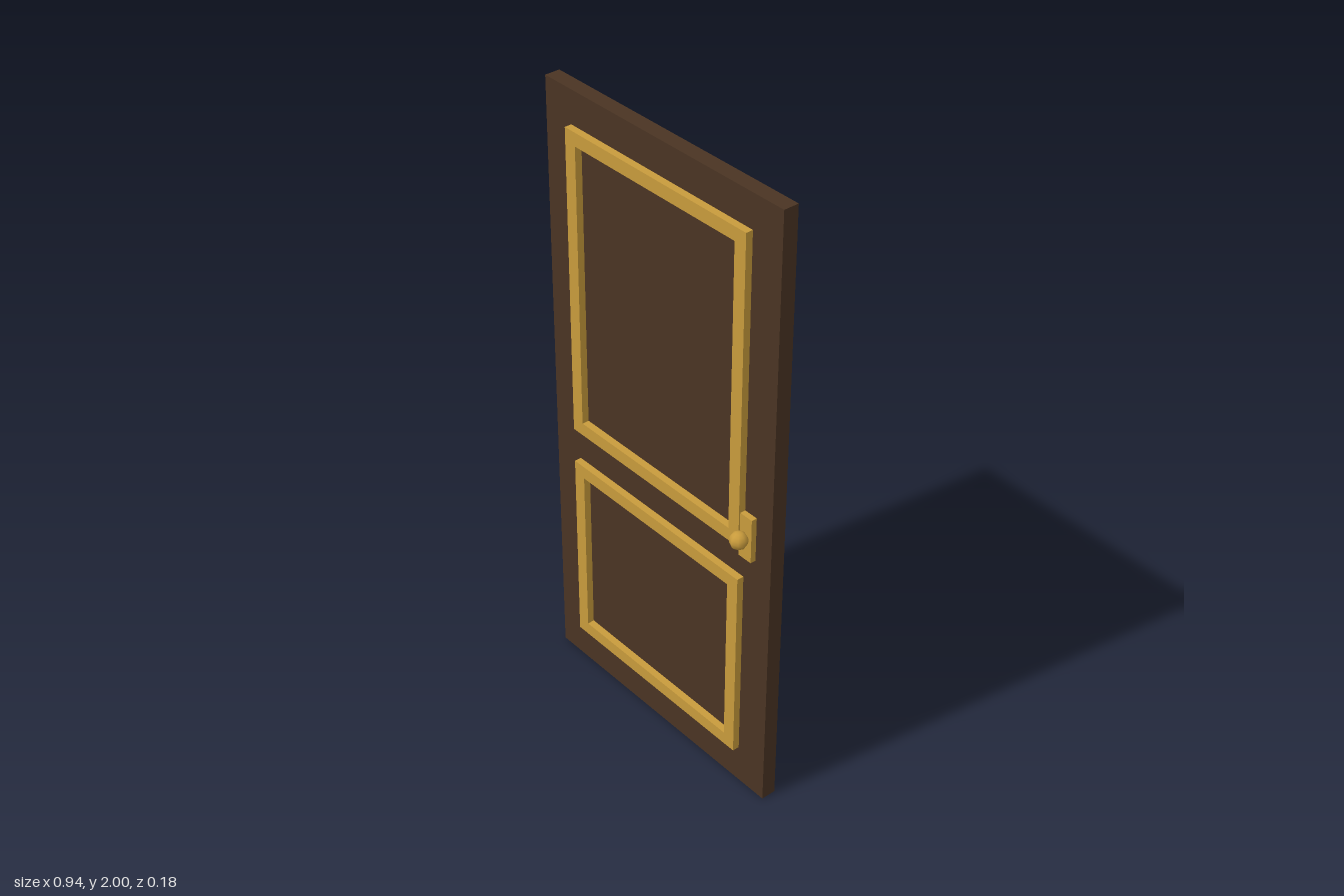
import * as THREE from 'three';

const wood = new THREE.MeshStandardMaterial({ name: 'dark wood', color: 0x4a3423 });
const brass = new THREE.MeshStandardMaterial({ name: 'brass', color: 0xc89b3c });

const HALF_WIDTH = 0.472;
const FACE = 0.024; // half the slab's thickness

// Rectangular moulding with mitre-free open centre, standing on the door face
function moulding(name, bottom, top) {
  const half = 0.363, strip = 0.042;
  const rect = (T, w, y0, y1) => {
    const s = new T();
    s.moveTo(-w, y0).lineTo(w, y0).lineTo(w, y1).lineTo(-w, y1).closePath();
    return s;
  };
  const shape = rect(THREE.Shape, half, bottom, top);
  shape.holes.push(rect(THREE.Path, half - strip, bottom + strip, top - strip));
  const geometry = new THREE.ExtrudeGeometry(shape, { depth: 0.0225, bevelEnabled: false });
  const mesh = new THREE.Mesh(geometry, brass);
  mesh.name = name;
  mesh.position.z = FACE;
  return mesh;
}

// Mouldings and handle of one side; x places the handle
function doorSide(name, handleX) {
  const side = new THREE.Group();
  side.name = name;
  side.add(moulding('upperMoulding', 0.9, 1.895), moulding('lowerMoulding', 0.13, 0.783));

  const plate = new THREE.Mesh(new THREE.BoxGeometry(0.05, 0.147, 0.022), brass);
  plate.name = 'handlePlate';
  plate.position.set(handleX * 1.01, 0.943, 0.031);

  const knob = new THREE.Mesh(new THREE.SphereGeometry(0.0275, 8, 8), brass);
  knob.name = 'knob';
  knob.position.set(handleX, 0.943, 0.062);

  side.add(plate, knob);
  return side;
}

export function createModel() {
  const door = new THREE.Group();
  door.name = 'door';

  const slab = new THREE.Mesh(new THREE.BoxGeometry(HALF_WIDTH * 2, 2, FACE * 2), wood);
  slab.name = 'slab';
  slab.position.y = 1;

  // The back is the front turned around, with its handle on the same edge
  const front = doorSide('frontSide', 0.381);
  const back = doorSide('backSide', -0.381);
  back.rotation.y = Math.PI;

  door.add(slab, front, back);
  return door;
}
